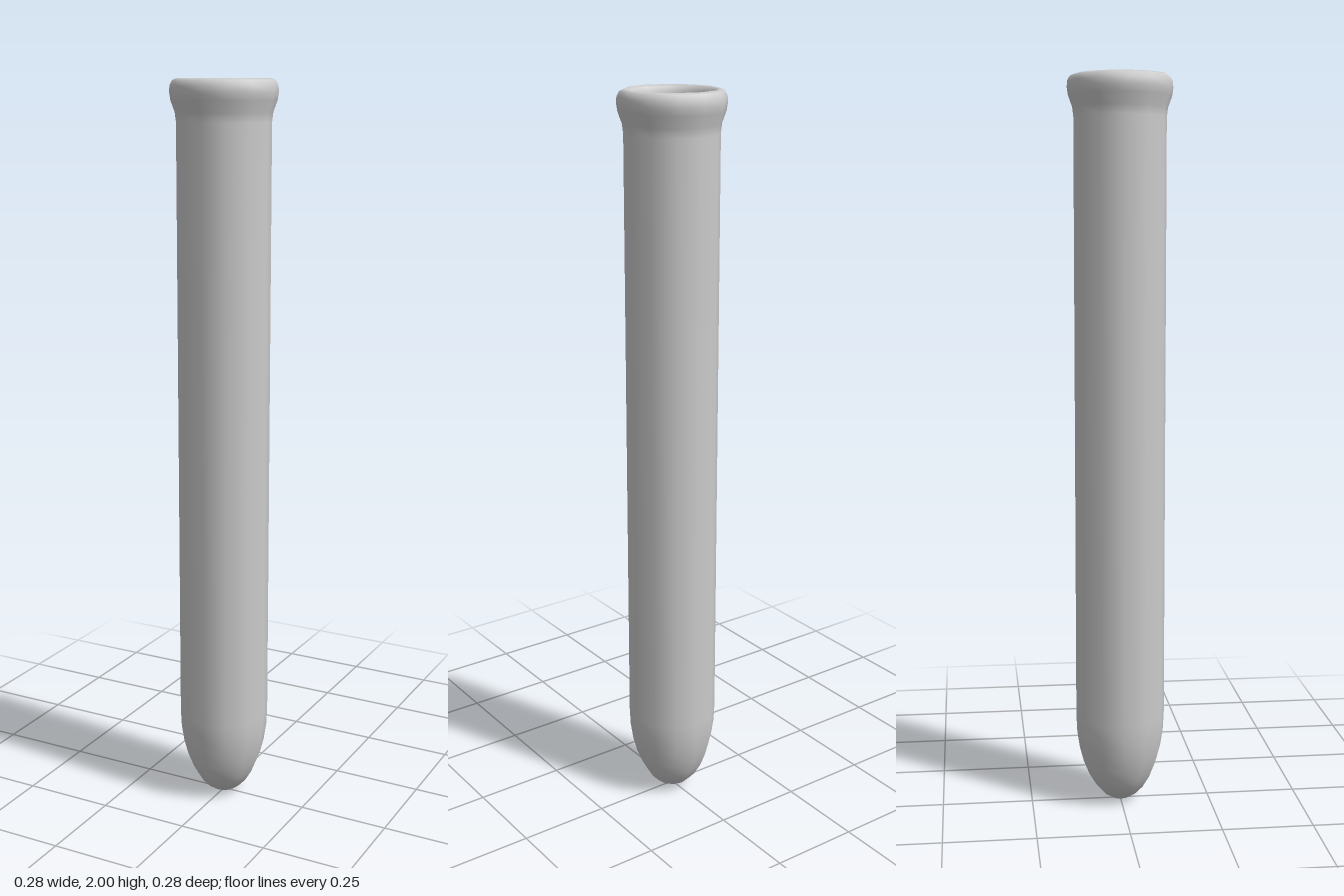
import * as THREE from 'three';

const SIDES = 12;
const material = new THREE.MeshStandardMaterial({ color: 0xcccccc, side: THREE.DoubleSide });

// Smooth 12-sided turned part from [radius, height] pairs
function turned(name, points) {
  const profile = points.map(([r, y]) => new THREE.Vector2(r, y));
  const mesh = new THREE.Mesh(new THREE.LatheGeometry(profile, SIDES), material);
  mesh.name = name;
  return mesh;
}

export function createModel() {
  const group = new THREE.Group();
  group.name = 'testTube';

  const radius = 0.124, domeHeight = 0.25, bore = 0.103, floorY = 0.25;

  // Elongated round bottom
  const dome = [];
  for (let i = 0; i <= 8; i++) {
    const a = (i / 8) * Math.PI / 2;
    dome.push([radius * Math.sin(a), domeHeight * (1 - Math.cos(a))]);
  }

  // Outer wall, flared lip and rolled edge in one continuous skin
  group.add(turned('outerWallAndLip', [
    ...dome,
    [radius, 1.89], [0.127, 1.915], [0.138, 1.945], [0.141, 1.965],
    [0.14, 1.982], [0.133, 1.995], [0.122, 2], [0.111, 1.995],
    [0.105, 1.982], [bore, 1.96],
  ]));

  // Straight bore
  group.add(turned('innerWall', [[bore, 1.96], [bore, floorY]]));

  // Flat floor of the bore
  const floor = new THREE.Mesh(new THREE.CircleGeometry(bore, SIDES), material);
  floor.name = 'innerFloor';
  floor.rotation.x = -Math.PI / 2;
  floor.position.y = floorY;
  group.add(floor);

  return group;
}
